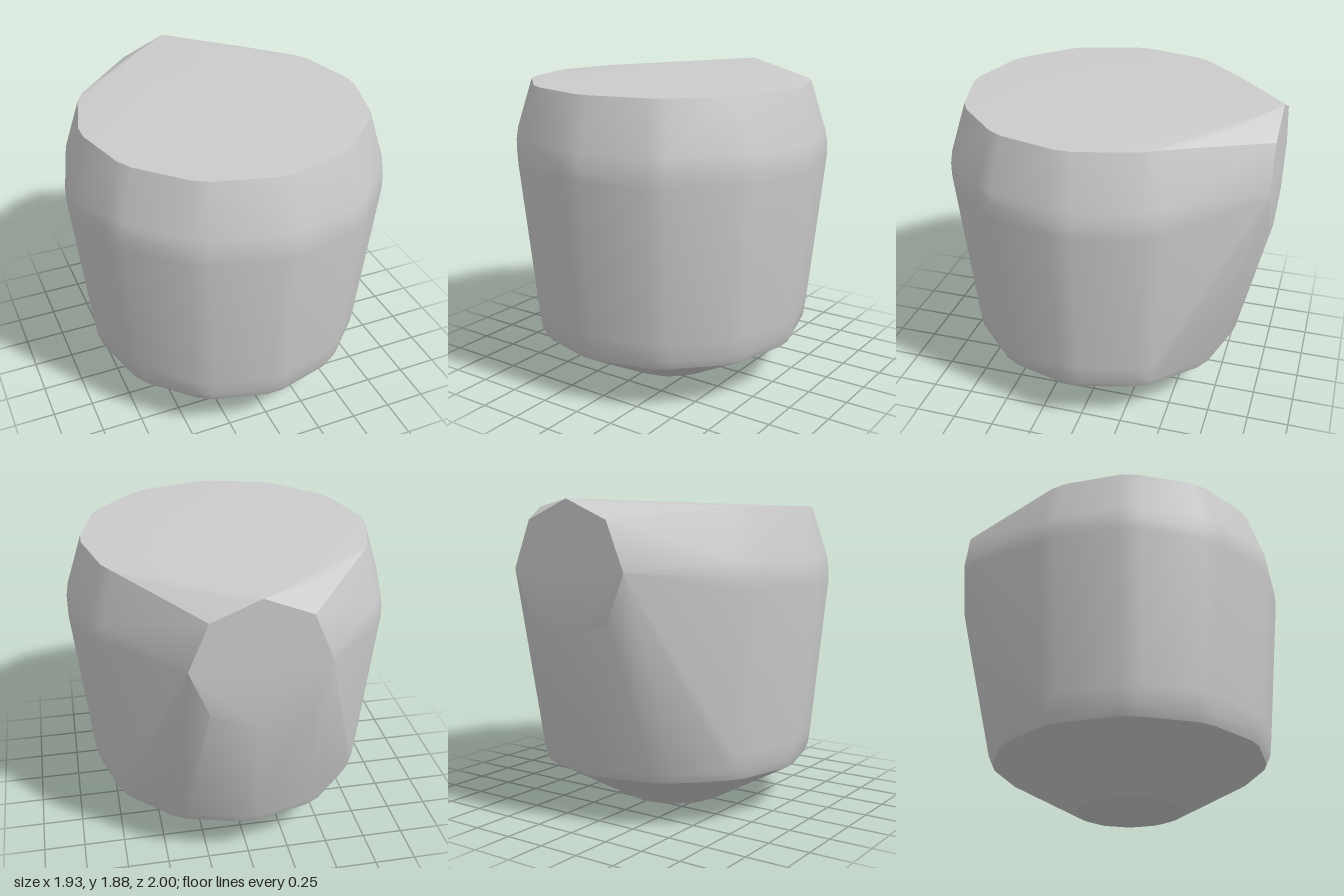
import * as THREE from 'three';
import { ConvexGeometry } from 'three/addons/geometries/ConvexGeometry.js';
import { toCreasedNormals } from 'three/addons/utils/BufferGeometryUtils.js';

const CENTRE_Z = 0.035;
const SIDES = 12;
const BEVEL = 0.06; // half angle of each softened upright corner

// Radius and height of the twelve-sided body, from foot to rim
const PROFILE = [
  [0.325, 0], [0.835, 0.285], [0.86, 0.34], [0.874, 0.45],
  [0.965, 1.38], [0.965, 1.46], [0.952, 1.54], [0.855, 1.84],
];

// Ring with a pair of points at each corner
function bodyRing(radius, y) {
  const points = [];
  for (let i = 0; i < SIDES; i++) {
    for (const offset of [-BEVEL, BEVEL]) {
      const a = (i / SIDES) * Math.PI * 2 + offset;
      points.push(new THREE.Vector3(Math.sin(a) * radius, y, Math.cos(a) * radius + CENTRE_Z));
    }
  }
  return points;
}

// Upright octagonal face at the back
function backRing(radius, y, z) {
  const points = [];
  for (let i = 0; i < 8; i++) {
    const a = (i / 8) * Math.PI * 2;
    points.push(new THREE.Vector3(Math.sin(a) * radius, y + Math.cos(a) * radius, z));
  }
  return points;
}

export function createModel() {
  const group = new THREE.Group();
  group.name = 'facetedVessel';

  // The shell wraps tightly around the body rings and the back face
  const points = PROFILE.flatMap(([r, y]) => bodyRing(r, y));
  points.push(...backRing(0.39, 1.49, -1));

  const shell = new THREE.Mesh(
    toCreasedNormals(new ConvexGeometry(points), 0.45),
    new THREE.MeshStandardMaterial({ color: 0xcccccc }),
  );
  shell.name = 'shell';
  group.add(shell);
  return group;
}
